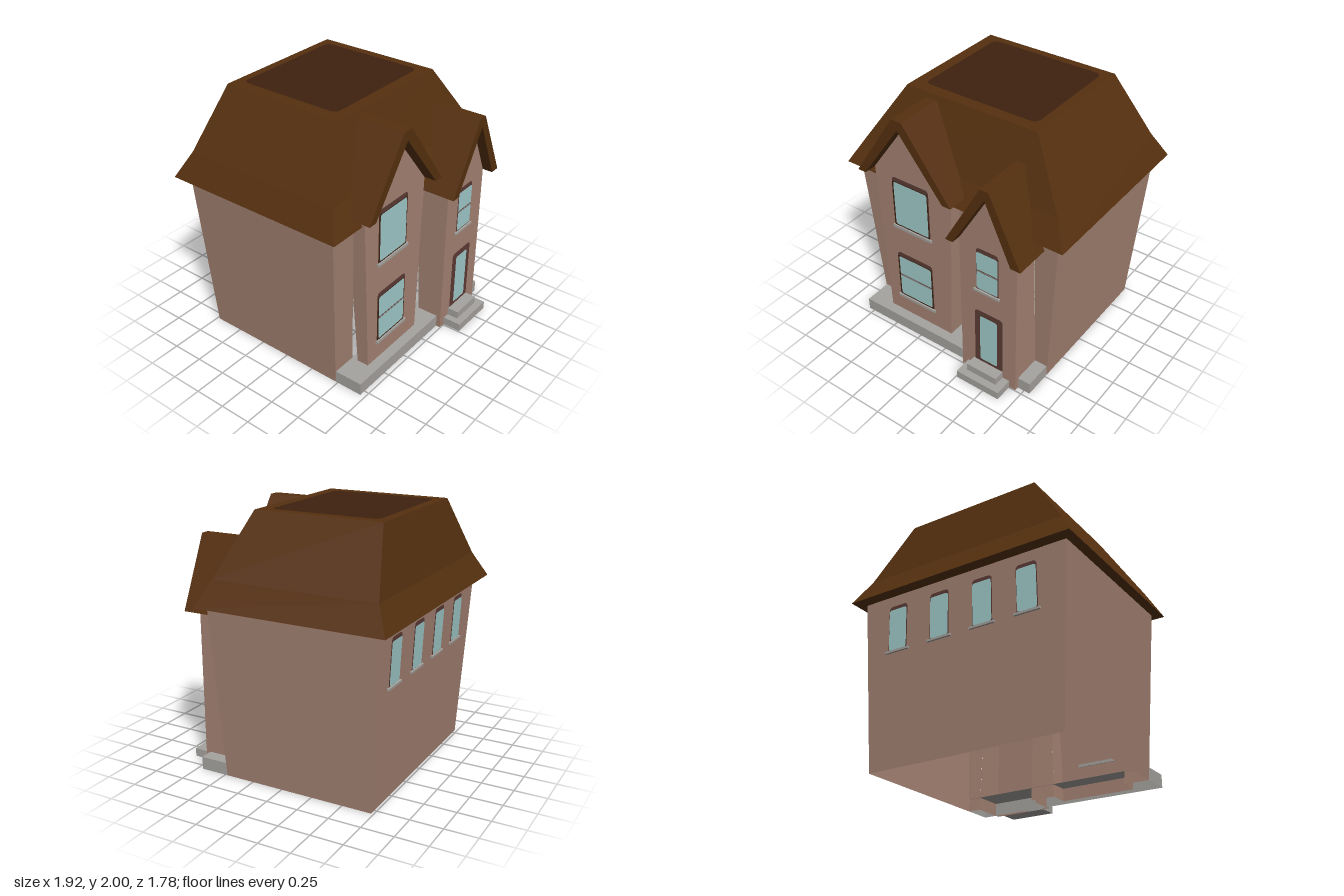
import * as THREE from 'three';

const mat = (name, color, side = THREE.DoubleSide) => {
  const m = new THREE.MeshStandardMaterial({ color, side });
  m.name = name;
  return m;
};

// Flat-shaded surface from a list of four-cornered faces
function quads(list) {
  const pos = [];
  for (const [a, b, c, d] of list) for (const p of [a, b, c, a, c, d]) pos.push(...p);
  const g = new THREE.BufferGeometry();
  g.setAttribute('position', new THREE.Float32BufferAttribute(pos, 3));
  g.computeVertexNormals();
  return g;
}

// Rectangle ring at height y, counter-clockwise seen from below
const ring = (x, y, zBack, zFront) => [[-x, y, zFront], [x, y, zFront], [x, y, zBack], [-x, y, zBack]];
const band = (a, b) => a.map((p, i) => {
  const j = (i + 1) % a.length;
  return [p, a[j], b[j], b[i]];
});

function shapeOf(points) {
  return new THREE.Shape(points.map(([x, y]) => new THREE.Vector2(x, y)));
}

// Rectangle centred on the origin with separate top and bottom corner radii
function roundedRect(w, h, top, bottom = top) {
  const s = new THREE.Shape(), x = w / 2, y = h / 2;
  s.moveTo(-x + bottom, -y);
  s.lineTo(x - bottom, -y);
  s.quadraticCurveTo(x, -y, x, -y + bottom);
  s.lineTo(x, y - top);
  s.quadraticCurveTo(x, y, x - top, y);
  s.lineTo(-x + top, y);
  s.quadraticCurveTo(-x, y, -x, y - top);
  s.lineTo(-x, -y + bottom);
  s.quadraticCurveTo(-x, -y, -x + bottom, -y);
  return s;
}

export function createModel() {
  const wall = mat('wall plaster', 0xa58373);
  const roof = mat('roof brown', 0x56300f);
  const roofDark = mat('dark roof panel', 0x3f220f);
  const stone = mat('stone grey', 0xa6a39f);
  const frame = mat('window frame', 0x5c3b35);
  const lining = mat('dark lining', 0x3e2213);
  const glass = mat('glass', 0xa2cccc);

  const house = new THREE.Group();
  house.name = 'house';
  const add = (name, geometry, material, parent = house) => {
    const m = new THREE.Mesh(geometry, material);
    m.name = name;
    parent.add(m);
    return m;
  };
  const box = (name, x0, x1, y0, y1, z0, z1, material, parent = house) => {
    const m = add(name, new THREE.BoxGeometry(x1 - x0, y1 - y0, z1 - z0), material, parent);
    m.position.set((x0 + x1) / 2, (y0 + y1) / 2, (z0 + z1) / 2);
    return m;
  };

  // Walls flare outward toward the eaves; the front leaves room for two bays
  const low = ring(0.8, 0, -0.73, 0.48), high = ring(0.885, 1.34, -0.797, 0.54);
  add('mainWalls', quads(band(low, high).slice(1)), wall);
  const strips = [[-0.8, -0.6, -0.885, -0.66], [0, 0.205, 0.05, 0.205], [0.695, 0.8, 0.695, 0.885]];
  add('frontWall', quads(strips.map(([a, b, c, d]) =>
    [[a, 0, 0.48], [b, 0, 0.48], [d, 1.34, 0.54], [c, 1.34, 0.54]])), wall);

  // Main roof with a kicked-out eave and a flat top
  const eave = ring(0.96, 1.34, -0.89, 0.61);
  const kick = ring(0.85, 1.535, -0.79, 0.51);
  const crown = ring(0.56, 2, -0.675, 0.33);
  add('mainRoof', quads([...band(eave, kick), ...band(kick, crown), crown, [...eave].reverse()]), roof);
  const panel = add('roofPanel', new THREE.ShapeGeometry(roundedRect(0.96, 0.85, 0.06)), roofDark);
  panel.rotation.x = -Math.PI / 2;
  panel.position.set(0.01, 2.002, -0.185);

  // Gabled bay: front face, sides, and a roof slab folded over the gable
  function bay(name, outline, zFront, zBack, slab, roofFront, roofBack) {
    const g = new THREE.Group();
    g.name = name;
    house.add(g);
    add('bayFront', new THREE.ShapeGeometry(shapeOf(outline)), wall, g).position.z = zFront;
    const sides = [[outline[1], outline[2]], [outline[4], outline[0]]];
    add('baySides', quads(sides.map(([p, q]) =>
      [[...p, zFront], [...p, zBack], [...q, zBack + 0.06], [...q, zFront]])), wall, g);
    const geo = new THREE.ExtrudeGeometry(shapeOf(slab), { depth: roofFront - roofBack, bevelEnabled: false });
    add('gableRoof', geo, roof, g).position.z = roofBack;
  }
  bay('rightBay', [[-0.6, 0], [0, 0], [0.05, 1.43], [-0.325, 1.9], [-0.66, 1.43]], 0.63, 0.48,
    [[-0.735, 1.42], [-0.665, 1.42], [-0.325, 1.89], [0.047, 1.42], [0.12, 1.42], [-0.28, 1.965], [-0.37, 1.965]],
    0.728, 0.335);
  bay('leftBay', [[0.205, 0], [0.695, 0], [0.695, 1.26], [0.485, 1.71], [0.205, 1.25]], 0.745, 0.48,
    [[0.145, 1.24], [0.21, 1.24], [0.485, 1.705], [0.695, 1.24], [0.775, 1.24], [0.52, 1.78], [0.45, 1.78]],
    0.826, 0.4);

  // Stone plinth, open underneath and at the back, and two door steps
  const p0 = ring(0.8, 0, 0.48, 0.71), p1 = ring(0.8, 0.1, 0.48, 0.71);
  const faces = band(p0, p1);
  add('plinth', quads([faces[0], faces[1], faces[3], p1]), stone);
  box('lowerStep', 0.26, 0.64, 0, 0.065, 0.745, 0.893, stone);
  box('upperStep', 0.315, 0.58, 0.065, 0.127, 0.745, 0.836, stone);

  // Opening made of thin stacked plates; each rectangle is [x0, x1, y0, y1]
  function plate(name, [x0, x1, y0, y1], top, bottom, z, material, parent) {
    const geo = new THREE.ShapeGeometry(roundedRect(x1 - x0, y1 - y0, top, bottom));
    add(name, geo, material, parent).position.set((x0 + x1) / 2, (y0 + y1) / 2, z);
  }
  function opening(name, z, f, pane, { dark, sill, bar } = {}) {
    const g = new THREE.Group();
    g.name = name;
    g.position.z = z;
    house.add(g);
    plate('frame', f, 0.035, 0.005, 0.002, frame, g);
    if (dark) plate('lining', dark, 0.01, 0.005, 0.004, lining, g);
    plate('pane', pane, 0.02, 0.02, 0.006, glass, g);
    if (bar) {
      plate('glazingBar', [pane[0], pane[1], bar - 0.008, bar + 0.008], 0.001, 0.001, 0.007, frame, g);
      plate('glazingBarLight', [pane[0], pane[1], bar - 0.003, bar + 0.003], 0.001, 0.001, 0.008, stone, g);
    }
    if (sill) box('sill', ...sill, -0.005, 0.016, stone, g);
    return g;
  }
  opening('upperBayWindow', 0.63, [-0.5, -0.158, 0.965, 1.4], [-0.485, -0.172, 0.978, 1.36],
    { dark: [-0.5, -0.164, 0.965, 1.365], sill: [-0.51, -0.145, 0.942, 0.966] });
  opening('lowerBayWindow', 0.63, [-0.5, -0.158, 0.27, 0.7], [-0.485, -0.172, 0.283, 0.66],
    { dark: [-0.5, -0.164, 0.27, 0.665], sill: [-0.51, -0.145, 0.247, 0.27], bar: 0.478 });
  opening('windowOverDoor', 0.745, [0.35, 0.542, 0.838, 1.213], [0.355, 0.537, 0.85, 1.18],
    { sill: [0.33, 0.555, 0.822, 0.84], bar: 1.015 });
  opening('frontDoor', 0.745, [0.33, 0.58, 0.127, 0.635], [0.378, 0.532, 0.155, 0.59]);

  // Row of four rear windows leaning with the wall
  for (const x of [0.568, 0.185, -0.19, -0.56]) {
    const w = opening('rearWindow', 0, [-0.085, 0.085, -0.175, 0.185], [-0.08, 0.08, -0.17, 0.155],
      { sill: [-0.105, 0.105, -0.192, -0.175] });
    w.rotation.set(0.05, Math.PI, 0, 'YXZ');
    w.position.set(x, 1.07, -0.7845);
  }
  return house;
}
